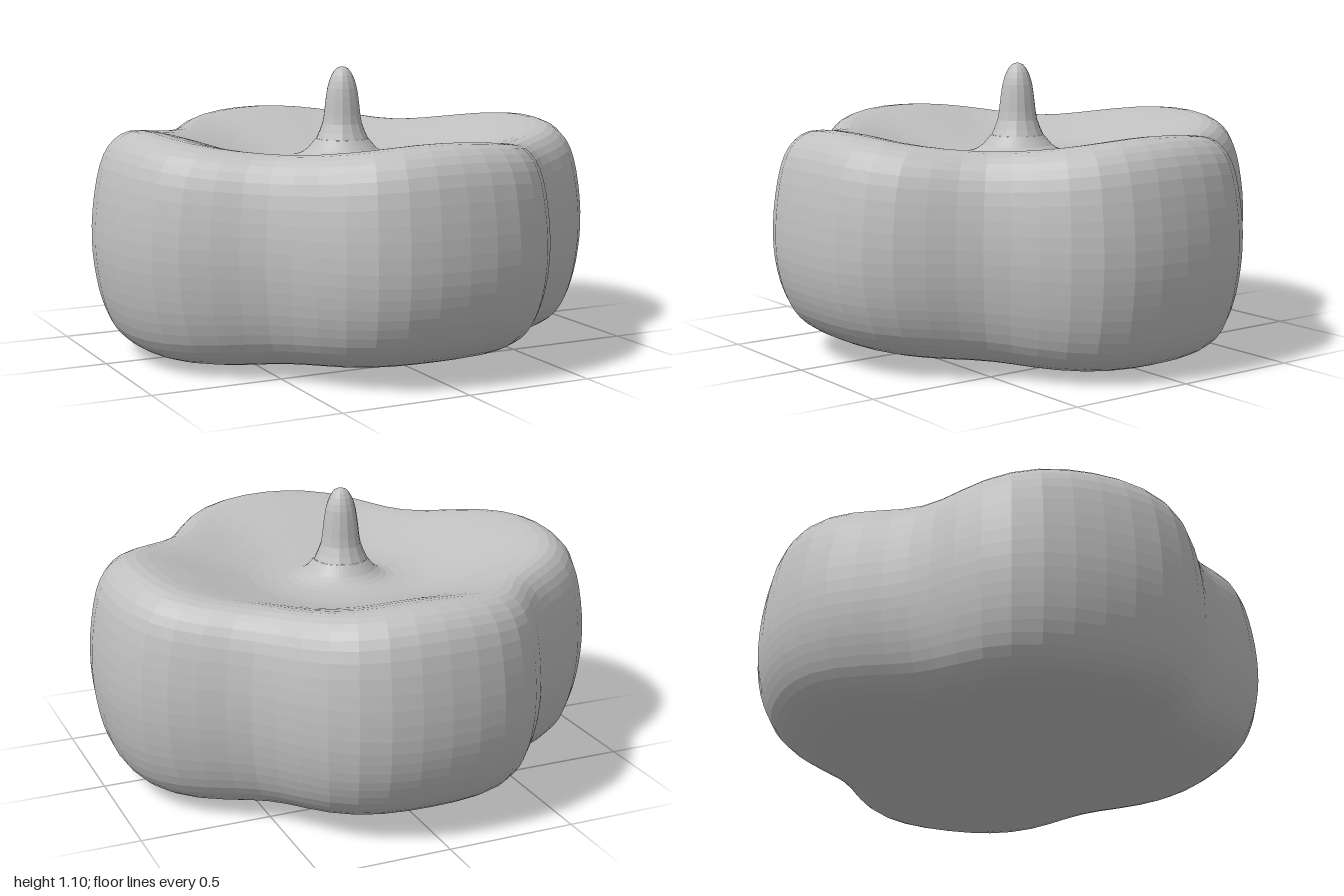
import * as THREE from 'three';

const grey = new THREE.MeshStandardMaterial({ color: 0xc0c0c0, flatShading: true });
grey.name = 'lightGrey';

// Smooth profile through a few [radius, height] points, revolved around y
function turned(points, steps, sides) {
  const curve = new THREE.SplineCurve(points.map(([r, y]) => new THREE.Vector2(r, y)));
  const profile = curve.getPoints(steps).map((p) => new THREE.Vector2(Math.max(p.x, 0), p.y));
  return new THREE.LatheGeometry(profile, sides);
}

// Push a round body into four lobes, with sagging valleys and a bottom curved along z
function lobe(geometry) {
  const pos = geometry.attributes.position;
  for (let i = 0; i < pos.count; i++) {
    const x = pos.getX(i), y = pos.getY(i), z = pos.getZ(i);
    const r = Math.hypot(x, z), a = Math.atan2(x, z);
    const amount = THREE.MathUtils.smoothstep(r, 0.15, 0.75);
    const outline = 0.949 + 0.0725 * Math.cos(4 * a) - 0.021 * Math.cos(8 * a);
    const k = 1 + (outline - 1) * amount;
    const sag = 0.05 * (1 - Math.cos(4 * a)) / 2 * amount * THREE.MathUtils.smoothstep(y, 0.4, 0.85);
    const lift = 0.08 * z * z * (1 - THREE.MathUtils.smoothstep(y, 0.02, 0.45));
    pos.setXYZ(i, x * k, y - sag + lift, z * k);
  }
  geometry.computeVertexNormals();
  return geometry;
}

export function createModel() {
  const group = new THREE.Group();

  // Lobed body with a shallow bowl on top, rising to the stem
  const body = new THREE.Mesh(lobe(turned([
    [0, 0], [0.45, 0.002], [0.7, 0.012], [0.84, 0.04], [0.92, 0.1], [0.965, 0.2], [0.99, 0.32],
    [1, 0.45], [0.99, 0.6], [0.96, 0.75], [0.91, 0.835], [0.83, 0.872], [0.7, 0.852],
    [0.5, 0.79], [0.35, 0.748], [0.22, 0.738], [0.15, 0.76], [0.105, 0.81],
  ], 44, 56)), grey);
  body.name = 'body';

  // Tapered stem with a rounded tip
  const stem = new THREE.Mesh(turned([
    [0.105, 0.81], [0.08, 0.87], [0.07, 0.94], [0.06, 1.01], [0.043, 1.06], [0.022, 1.088], [0, 1.095],
  ], 12, 14), grey);
  stem.name = 'stem';

  group.add(body, stem);
  return group;
}
